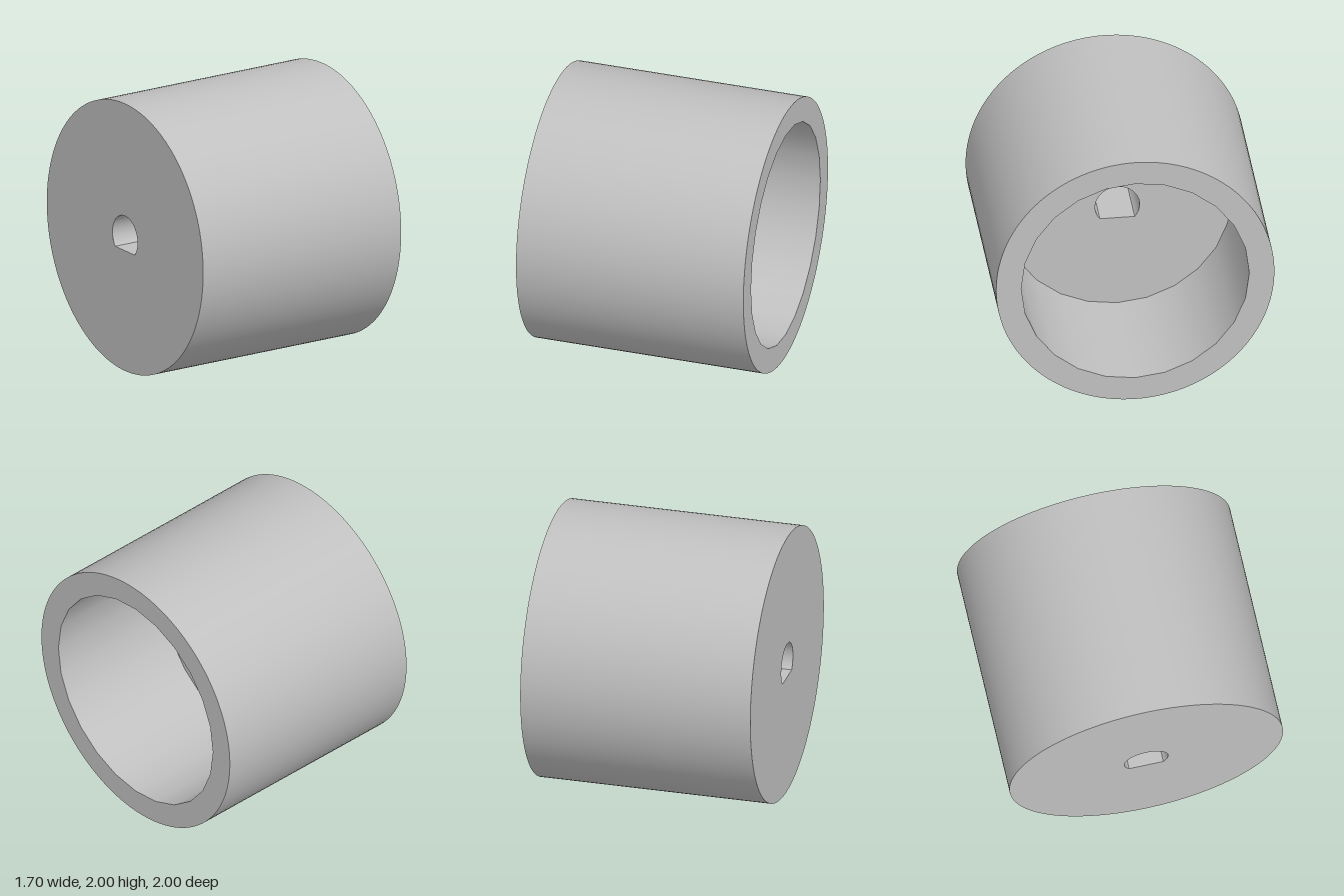
import * as THREE from 'three';

const END = 0.85;      // half length along x
const FLOOR = -0.15;   // bottom of the cup
const R = 1, CUP_R = 0.82, CUP_SIDES = 24;
const BORE_R = 0.16, FLAT = 0.1;
const PHI = Math.asin(FLAT / BORE_R);

export function createModel() {
  const group = new THREE.Group();
  const grey = new THREE.MeshStandardMaterial({ color: 0xc0c0c0, side: THREE.DoubleSide });
  grey.name = 'grey';

  const add = (name, geometry, x, y = 1) => {
    const mesh = new THREE.Mesh(geometry, grey);
    mesh.name = name;
    mesh.position.set(x, y, 0);
    group.add(mesh);
  };

  // Open tube lying along x
  const tube = (name, r, x0, x1, sides, start = 0, length = Math.PI * 2) =>
    add(name, new THREE.CylinderGeometry(r, r, x1 - x0, sides, 1, true, start, length)
      .rotateZ(Math.PI / 2), (x0 + x1) / 2);

  // Flat face across the x axis, facing +x or -x
  const face = (name, shape, x, dir) =>
    add(name, new THREE.ShapeGeometry(shape, 64).rotateY(dir * Math.PI / 2), x);

  const disc = () => new THREE.Shape().absarc(0, 0, R, 0, Math.PI * 2, false);
  const cupOutline = Array.from({ length: CUP_SIDES }, (_, i) => {
    const a = (i / CUP_SIDES) * Math.PI * 2;
    return new THREE.Vector2(CUP_R * Math.cos(a), CUP_R * Math.sin(a));
  });
  const boreHole = () => {
    const path = new THREE.Path().absarc(0, 0, BORE_R, -PHI, Math.PI + PHI, false);
    path.closePath();
    return path;
  };

  // Outer wall and the faceted cup inside it
  tube('outerWall', R, -END, END, 128);
  tube('cupWall', CUP_R, FLOOR, END, CUP_SIDES);

  const rim = disc();
  rim.holes.push(new THREE.Path(cupOutline));
  face('rim', rim, END, 1);

  const floor = new THREE.Shape(cupOutline);
  floor.holes.push(boreHole());
  face('cupFloor', floor, FLOOR, 1);

  const back = disc();
  back.holes.push(boreHole());
  face('backFace', back, -END, -1);

  // D-shaped shaft bore through the solid end
  tube('boreWall', BORE_R, -END, FLOOR, 48, -PHI, Math.PI + 2 * PHI);
  add('boreFlat', new THREE.PlaneGeometry(FLOOR + END, 2 * BORE_R * Math.cos(PHI))
    .rotateX(-Math.PI / 2), (FLOOR - END) / 2, 1 - FLAT);

  return group;
}
